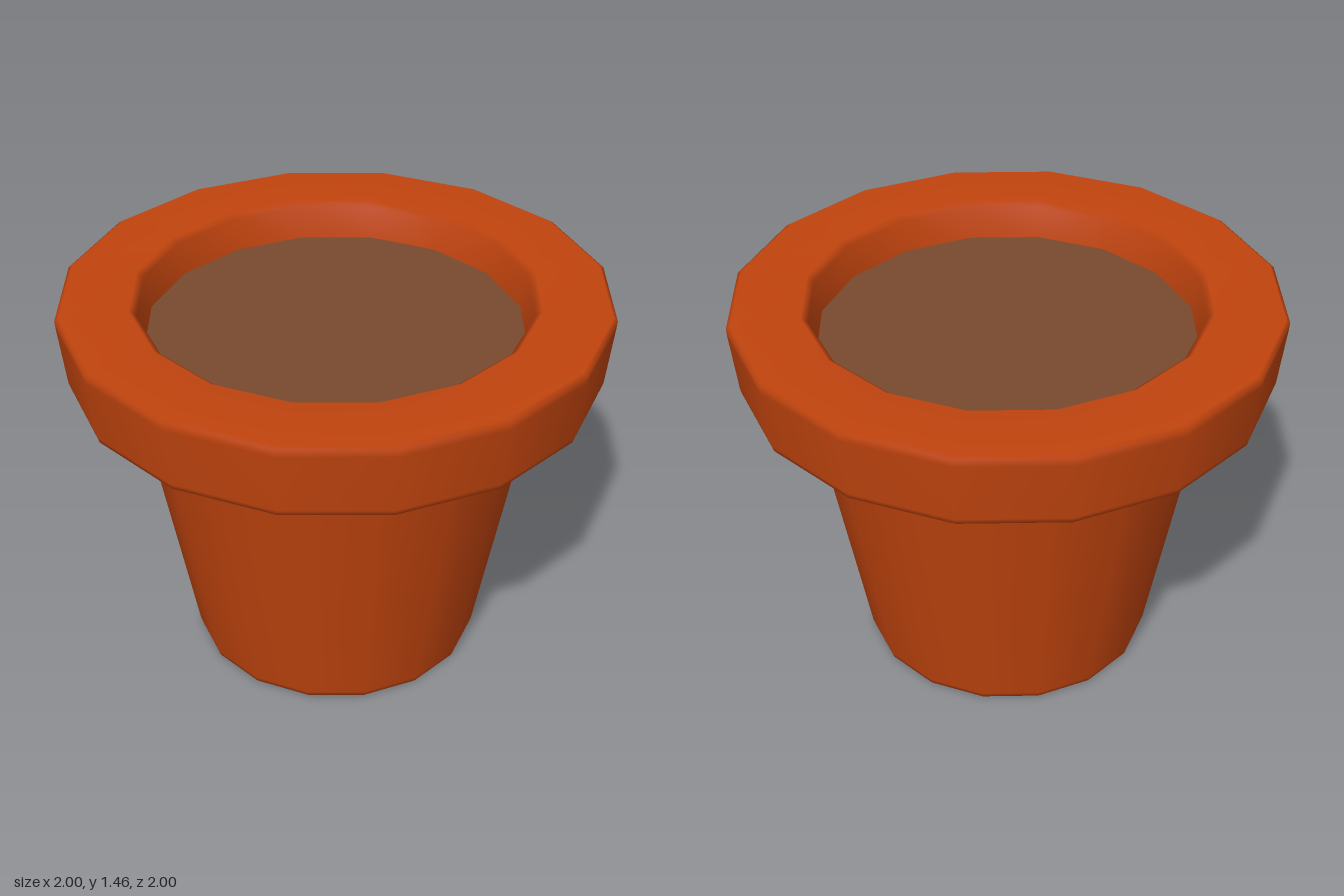
import * as THREE from 'three';

const SIDES = 16;

export function createModel() {
  const terracotta = new THREE.MeshStandardMaterial({ color: 0xc1440e });
  terracotta.name = 'terracotta';
  const earth = new THREE.MeshStandardMaterial({ color: 0x79492f });
  earth.name = 'earth';

  const lathe = (name, profile) => {
    const points = profile.map(([r, y]) => new THREE.Vector2(r, y));
    const mesh = new THREE.Mesh(new THREE.LatheGeometry(points, SIDES), terracotta);
    mesh.name = name;
    return mesh;
  };

  // Tapered body with a closed, slightly bevelled base
  const body = lathe('body', [
    [0, 0], [0.53, 0], [0.543, 0.004], [0.55, 0.025], [0.75, 1.155], [0.753, 1.175],
  ]);

  // Thick flared rim: underside, outer band, top and inner wall down to the soil
  const rim = lathe('rim', [
    [0.74, 1.17], [0.955, 1.17], [0.968, 1.174], [0.974, 1.195],
    [0.998, 1.42], [1, 1.45], [0.985, 1.46],
    [0.74, 1.46], [0.715, 1.44], [0.69, 1.31],
  ]);

  // Flat soil surface recessed below the rim
  const soil = new THREE.Mesh(new THREE.CircleGeometry(0.693, SIDES), earth);
  soil.name = 'soil';
  soil.rotation.x = -Math.PI / 2;
  soil.position.y = 1.32;

  const pot = new THREE.Group();
  pot.name = 'flowerPot';
  pot.add(body, rim, soil);
  return pot;
}
